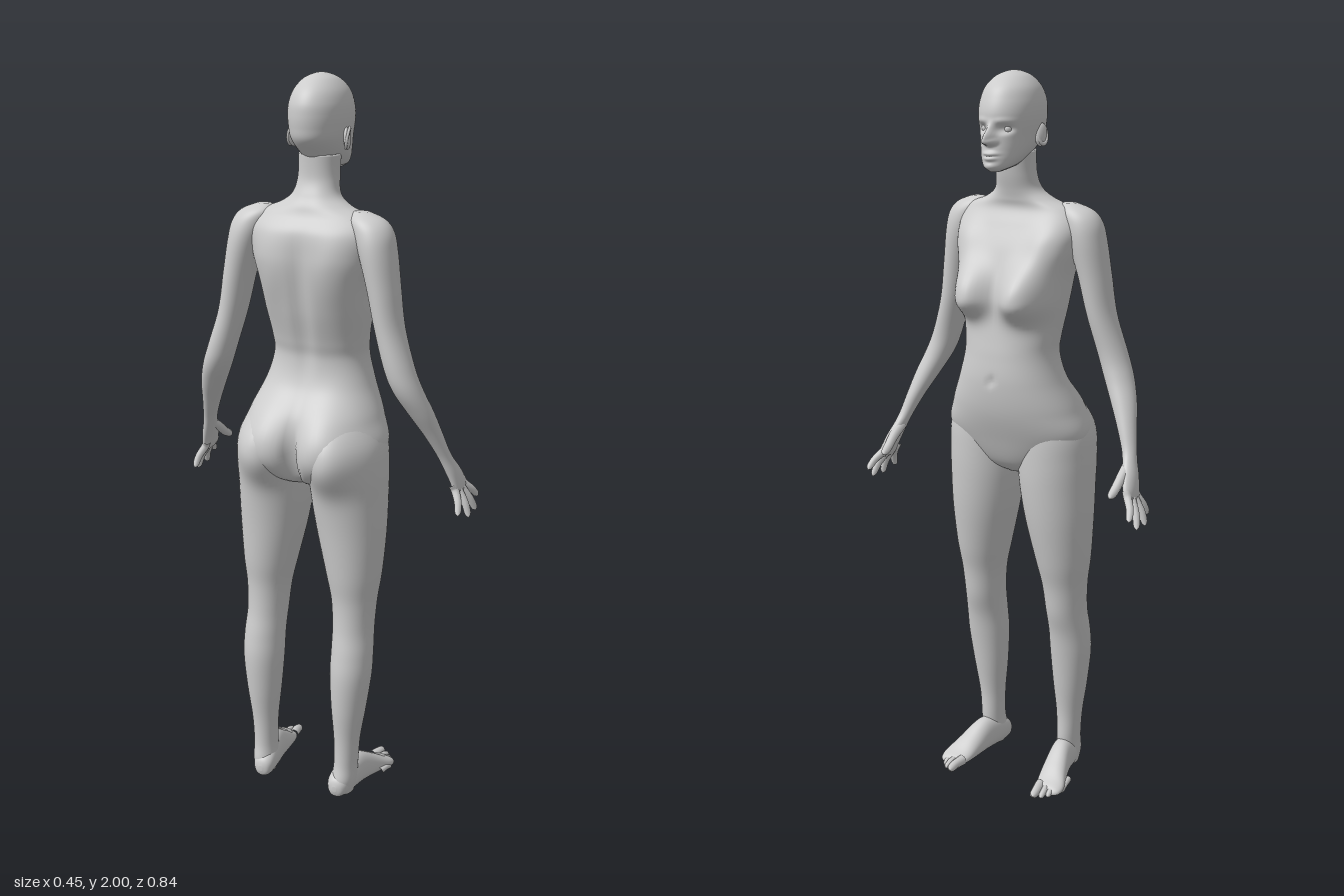
import * as THREE from 'three';

const skin = new THREE.MeshStandardMaterial({ color: 0xcccccc });
skin.name = 'plain grey';

// Smooth blend through neighbouring section values
function spline(a, b, c, d, t) {
  return b + 0.5 * t * (c - a + t * (2 * a - 5 * b + 4 * c - d + t * (3 * (b - c) + d - a)));
}

// Skin over horizontal sections, bottom to top: [y, cx, cz, rx, rFront, rBack]
function loft(rows, side = 1, power = 1, steps = 6, n = 48) {
  const pos = [], idx = [], last = rows.length - 1;
  const sections = [];
  for (let i = 0; i < last; i++) {
    const q = [rows[Math.max(i - 1, 0)], rows[i], rows[i + 1], rows[Math.min(i + 2, last)]];
    for (let s = 0; s < steps; s++) {
      sections.push(q[1].map((_, k) => spline(q[0][k], q[1][k], q[2][k], q[3][k], s / steps)));
    }
  }
  sections.push(rows[last]);
  const bend = v => Math.sign(v) * Math.abs(v) ** power;
  for (const [y, cx, cz, rx, rf, rb] of sections) {
    for (let j = 0; j < n; j++) {
      const a = j / n * Math.PI * 2, s = bend(Math.sin(a));
      pos.push(cx * side + rx * bend(Math.cos(a)), y, cz + (s > 0 ? rf : rb) * s);
    }
  }
  const m = sections.length;
  for (let i = 0; i < m - 1; i++) {
    for (let j = 0; j < n; j++) {
      const a = i * n + j, b = i * n + (j + 1) % n;
      idx.push(a, a + n, b, b, a + n, b + n);
    }
  }
  // Closing fans
  for (const [row, top] of [[0, false], [m - 1, true]]) {
    const [y, cx, cz] = sections[row], c = pos.length / 3;
    pos.push(cx * side, y, cz);
    for (let j = 0; j < n; j++) {
      const a = row * n + j, b = row * n + (j + 1) % n;
      if (top) idx.push(a, c, b); else idx.push(a, b, c);
    }
  }
  const g = new THREE.BufferGeometry();
  g.setAttribute('position', new THREE.Float32BufferAttribute(pos, 3));
  g.setIndex(idx);
  g.computeVertexNormals();
  return g;
}

// Raise mirrored soft mounds on the front (1) or back (-1): [x, y, height, width, above, below]
function swell(g, mounds, facing, start) {
  const p = g.attributes.position;
  for (let i = 0; i < p.count; i++) {
    const x = Math.abs(p.getX(i)), y = p.getY(i), z = p.getZ(i);
    const fade = THREE.MathUtils.smoothstep(z * facing, start, start + 0.06);
    let rise = 0;
    for (const [mx, my, height, width, above, below] of mounds) {
      const d = ((x - mx) / width) ** 2 + ((y - my) / (y > my ? above : below)) ** 2;
      rise += height * Math.exp(-(d ** 1.25));
    }
    p.setZ(i, z + facing * rise * fade);
  }
  g.computeVertexNormals();
  return g;
}

// Tapered, round-tipped finger or toe along a curve
function digit(points, r, side) {
  const curve = new THREE.CatmullRomCurve3(points.map(p => new THREE.Vector3(p[0] * side, p[1], p[2])));
  const n = 14, k = 10, g = new THREE.TubeGeometry(curve, n, 1, k);
  const p = g.attributes.position, v = new THREE.Vector3();
  for (let i = 0; i <= n; i++) {
    const t = i / n, c = curve.getPointAt(t), e = Math.max(0, (t - 0.8) / 0.2);
    const radius = r * (1 - 0.25 * t) * Math.sqrt(Math.max(0, 1 - e * e));
    for (let j = 0; j <= k; j++) {
      const q = i * (k + 1) + j;
      v.fromBufferAttribute(p, q).sub(c).multiplyScalar(radius).add(c);
      p.setXYZ(q, v.x, v.y, v.z);
    }
  }
  return g;
}

export function createModel() {
  const model = new THREE.Group();
  const body = new THREE.Group();
  body.name = 'figure';
  model.add(body);
  const add = (name, geometry) => {
    const mesh = new THREE.Mesh(geometry, skin);
    mesh.name = name;
    body.add(mesh);
    return mesh;
  };

  // Trunk and neck, with chest in front, shoulder blades and seat behind
  const seat = [[0.095, 1.035, 0.05, 0.085, 0.12, 0.09], [0, 1.0, -0.03, 0.016, 0.09, 0.09]];
  const torso = loft([
    [0.925, 0, -0.05, 0.03, 0.05, 0.05], [0.96, 0, -0.045, 0.13, 0.09, 0.11],
    [1.04, 0, -0.035, 0.206, 0.115, 0.133], [1.12, 0, -0.02, 0.186, 0.127, 0.132],
    [1.2, 0, -0.005, 0.152, 0.122, 0.105], [1.27, 0, 0, 0.132, 0.112, 0.095],
    [1.32, 0, -0.005, 0.134, 0.11, 0.098], [1.4, 0, -0.02, 0.146, 0.113, 0.102],
    [1.48, 0, -0.03, 0.156, 0.11, 0.103], [1.55, 0, -0.04, 0.174, 0.1, 0.097],
    [1.61, 0, -0.05, 0.182, 0.082, 0.082], [1.65, 0, -0.047, 0.158, 0.06, 0.06],
    [1.675, 0, -0.04, 0.098, 0.055, 0.056], [1.7, 0, -0.03, 0.065, 0.05, 0.052],
    [1.74, 0, -0.018, 0.055, 0.048, 0.048], [1.8, 0, -0.01, 0.054, 0.05, 0.055],
  ], 1, 0.92, 9, 80);
  swell(torso, [[0.083, 1.425, 0.066, 0.062, 0.085, 0.052], [0.135, 1.565, 0.022, 0.055, 0.06, 0.09],
    [0, 1.205, -0.007, 0.009, 0.016, 0.012]], 1, -0.05);
  swell(torso, [...seat, [0.1, 1.52, 0.016, 0.06, 0.08, 0.1], [0, 1.4, -0.01, 0.025, 0.2, 0.18]], -1, 0.03);
  add('torso', torso);

  // Head with modelled nose, lips, brows and eye sockets
  const head = loft([
    [1.753, 0, 0.088, 0.012, 0.014, 0.03], [1.765, 0, 0.075, 0.034, 0.039, 0.075],
    [1.785, 0, 0.05, 0.05, 0.066, 0.1], [1.81, 0, 0.02, 0.062, 0.094, 0.1],
    [1.84, 0, 0, 0.071, 0.111, 0.106], [1.87, 0, 0, 0.077, 0.109, 0.113],
    [1.9, 0, 0, 0.079, 0.109, 0.115], [1.93, 0, 0, 0.076, 0.1, 0.111],
    [1.96, 0, 0, 0.065, 0.083, 0.094], [1.985, 0, -0.003, 0.043, 0.054, 0.06],
    [1.997, 0, -0.005, 0.018, 0.024, 0.026], [2, 0, -0.005, 0.002, 0.002, 0.002],
  ], 1, 1, 10, 96);
  swell(head, [
    [0, 1.831, 0.034, 0.013, 0.024, 0.01], [0, 1.857, 0.009, 0.01, 0.02, 0.02],
    [0.013, 1.828, 0.01, 0.007, 0.008, 0.006], [0, 1.799, 0.008, 0.02, 0.006, 0.004],
    [0, 1.788, 0.008, 0.016, 0.004, 0.007], [0, 1.767, 0.006, 0.018, 0.01, 0.01],
    [0.032, 1.86, -0.013, 0.018, 0.012, 0.011], [0.032, 1.88, 0.003, 0.024, 0.008, 0.008],
  ], 1, 0.02);
  add('head', head);

  // Toes from big to small: [x, z of tip, radius]
  const toes = [[0.141, 0.134, 0.014], [0.161, 0.124, 0.01], [0.175, 0.109, 0.0095],
    [0.187, 0.089, 0.009], [0.196, 0.068, 0.009]];
  // Fingers from index to little: knuckle, then tip
  const fingers = [[[0.389, 0.94, 0.074], [0.415, 0.89, 0.117]], [[0.391, 0.934, 0.055], [0.423, 0.86, 0.085]],
    [[0.39, 0.932, 0.036], [0.423, 0.856, 0.035]], [[0.386, 0.936, 0.02], [0.408, 0.872, -0.008]]];

  for (const [side, label] of [[1, 'left'], [-1, 'right']]) {
    // Eyes and ears
    const eye = add(label + 'Eye', new THREE.SphereGeometry(0.0125, 24, 16));
    eye.position.set(side * 0.032, 1.86, 0.077);
    const ear = add(label + 'Ear', new THREE.SphereGeometry(1, 24, 16).scale(0.009, 0.029, 0.018));
    ear.position.set(side * 0.076, 1.84, -0.012);
    ear.rotation.set(-0.2, side * -0.35, 0);
    const rim = add(label + 'EarRim', new THREE.TorusGeometry(0.015, 0.004, 8, 24));
    rim.scale.y = 1.6;
    rim.position.set(side * 0.079, 1.842, -0.014);
    rim.rotation.set(-0.2, Math.PI / 2 - side * 0.35, 0, 'YXZ');

    // Arm running into the palm
    add(label + 'Arm', loft([
      [0.922, 0.39, 0.048, 0.006, 0.026, 0.03], [0.932, 0.389, 0.048, 0.012, 0.034, 0.037],
      [0.955, 0.384, 0.043, 0.016, 0.038, 0.036], [0.985, 0.375, 0.028, 0.018, 0.038, 0.029],
      [1.02, 0.363, 0.011, 0.018, 0.028, 0.023], [1.05, 0.353, -0.002, 0.02, 0.024, 0.023],
      [1.1, 0.335, -0.022, 0.026, 0.029, 0.029], [1.16, 0.311, -0.048, 0.035, 0.037, 0.037],
      [1.22, 0.284, -0.07, 0.04, 0.043, 0.043], [1.28, 0.261, -0.077, 0.04, 0.045, 0.045],
      [1.38, 0.23, -0.071, 0.038, 0.05, 0.05], [1.48, 0.21, -0.066, 0.042, 0.054, 0.057],
      [1.57, 0.19, -0.06, 0.049, 0.057, 0.063], [1.62, 0.175, -0.058, 0.053, 0.052, 0.056],
      [1.65, 0.157, -0.056, 0.047, 0.038, 0.041], [1.668, 0.14, -0.054, 0.02, 0.015, 0.015],
    ], side));
    for (const [knuckle, tip] of fingers) {
      const root = [knuckle[0] - 0.006, knuckle[1] + 0.015, knuckle[2] - 0.005];
      const joint = knuckle.map((v, k) => (v + tip[k]) / 2 + (k === 0 ? 0.005 : 0));
      add(label + 'Finger', digit([root, knuckle, joint, tip], 0.012, side));
    }
    add(label + 'Thumb', digit([[0.362, 1.01, 0.02], [0.362, 0.985, 0.06], [0.36, 0.96, 0.092], [0.358, 0.945, 0.12]], 0.015, side));

    // Leg, sharing the swell of the seat
    add(label + 'Leg', swell(loft([
      [0.01, 0.127, -0.105, 0.028, 0.03, 0.035], [0.05, 0.128, -0.104, 0.034, 0.043, 0.046],
      [0.1, 0.13, -0.1, 0.033, 0.044, 0.041],
      [0.18, 0.132, -0.098, 0.037, 0.042, 0.043], [0.28, 0.135, -0.094, 0.049, 0.051, 0.057],
      [0.38, 0.138, -0.088, 0.058, 0.058, 0.067], [0.45, 0.138, -0.08, 0.058, 0.061, 0.067],
      [0.52, 0.135, -0.068, 0.057, 0.067, 0.067], [0.6, 0.133, -0.06, 0.063, 0.071, 0.072],
      [0.68, 0.129, -0.056, 0.077, 0.086, 0.085], [0.8, 0.119, -0.051, 0.095, 0.102, 0.1],
      [0.9, 0.112, -0.05, 0.104, 0.111, 0.112], [0.98, 0.11, -0.05, 0.106, 0.114, 0.117],
      [1.06, 0.107, -0.043, 0.1, 0.105, 0.112], [1.14, 0.09, -0.03, 0.075, 0.08, 0.08],
    ], side), seat, -1, 0.03));

    // Foot, built upright then laid forward: [z, cx, -cy, rx, down, up]
    add(label + 'Foot', loft([
      [-0.157, 0.12, -0.033, 0.006, 0.008, 0.008], [-0.15, 0.12, -0.035, 0.022, 0.027, 0.024],
      [-0.13, 0.122, -0.042, 0.032, 0.04, 0.034], [-0.09, 0.127, -0.045, 0.035, 0.043, 0.05],
      [-0.04, 0.135, -0.042, 0.035, 0.039, 0.058], [0.02, 0.148, -0.03, 0.04, 0.028, 0.038],
      [0.06, 0.159, -0.02, 0.043, 0.018, 0.022], [0.085, 0.163, -0.015, 0.036, 0.011, 0.014],
      [0.097, 0.163, -0.013, 0.02, 0.005, 0.005],
    ], side, 0.9).rotateX(Math.PI / 2));
    for (const [x, z, r] of toes) {
      add(label + 'Toe', digit([[x - 0.008, 0.02, z - 0.06], [x - 0.002, 0.018, z - 0.025], [x, r * 0.85, z]], r * 1.1, side));
    }
  }

  // Turn to the standing direction
  body.rotation.y = THREE.MathUtils.degToRad(104);
  body.position.set(0.002, 0, 0.01);
  return model;
}
